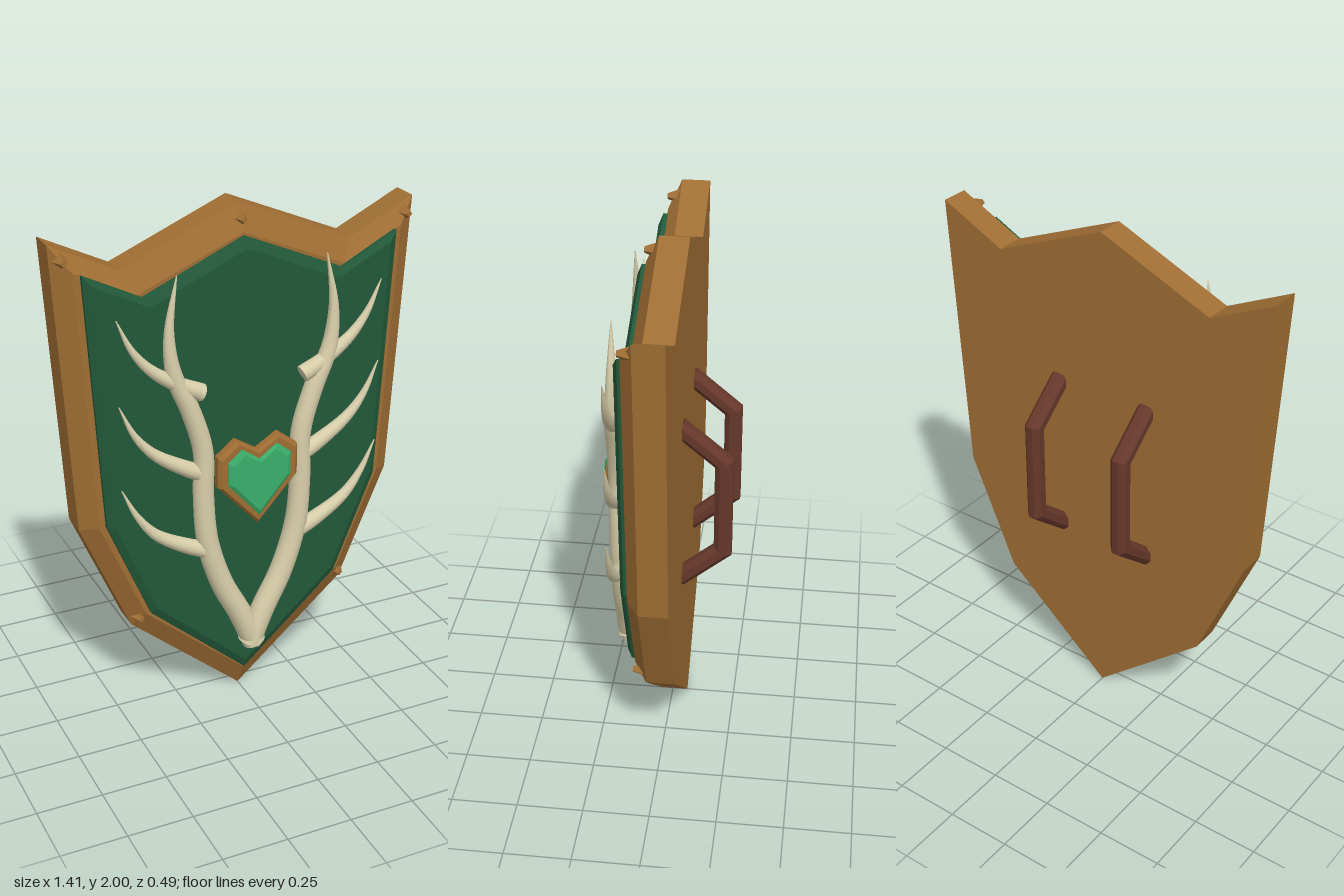
import * as THREE from 'three';
import { toCreasedNormals } from 'three/addons/utils/BufferGeometryUtils.js';

const material = (name, color, flatShading = false) => {
  const m = new THREE.MeshStandardMaterial({ color, flatShading });
  m.name = name;
  return m;
};

// Completes a half outline (counter-clockwise, from bottom to top centre) by mirroring it
const mirrorOutline = half => [
  ...half,
  ...half.slice(1, -1).reverse().map(([x, y]) => [-x, y]),
];

// Solid lofted through scaled copies of an outline; layers are [scaleX, scaleY, z]
function plate(outline, centreY, layers) {
  const rings = layers.map(([sx, sy, z]) =>
    outline.map(([x, y]) => new THREE.Vector3(x * sx, centreY + (y - centreY) * sy, z)));
  const n = outline.length;
  const pts = [];
  for (let k = 0; k < rings.length - 1; k++) {
    for (let i = 0; i < n; i++) {
      const j = (i + 1) % n;
      const [a, b, c, d] = [rings[k][i], rings[k][j], rings[k + 1][j], rings[k + 1][i]];
      pts.push(a, b, c, a, c, d);
    }
  }
  const faces = THREE.ShapeUtils.triangulateShape(outline.map(([x, y]) => new THREE.Vector2(x, y)), []);
  const front = rings[rings.length - 1];
  for (const [a, b, c] of faces) {
    pts.push(front[a], front[b], front[c], rings[0][c], rings[0][b], rings[0][a]);
  }
  const geo = new THREE.BufferGeometry().setFromPoints(pts);
  geo.computeVertexNormals();
  return geo;
}

// Tapering tube along a planar path, mitred at the bends; side is the normal of the path's plane
function sweep(path, radiusAt, side, sides, crease) {
  const last = path.length - 1;
  const rings = path.map((p, i) => {
    const before = p.clone().sub(path[Math.max(i - 1, 0)]).normalize();
    const after = path[Math.min(i + 1, last)].clone().sub(p).normalize();
    const tangent = before.clone().add(after).normalize();
    const mitre = 1 / tangent.dot(i < last ? after : before);
    const across = side.clone().cross(tangent);
    const r = radiusAt(i / last);
    return Array.from({ length: sides }, (_, j) => {
      const a = ((j + 0.5) / sides) * Math.PI * 2;
      return p.clone()
        .addScaledVector(across, Math.cos(a) * r * mitre)
        .addScaledVector(side, Math.sin(a) * r);
    });
  });
  const pts = [];
  for (let j = 0; j < sides; j++) {
    const k = (j + 1) % sides;
    for (let i = 0; i < last; i++) {
      const [a, b, c, d] = [rings[i][j], rings[i][k], rings[i + 1][k], rings[i + 1][j]];
      pts.push(a, b, c, a, c, d);
    }
    pts.push(path[0], rings[0][k], rings[0][j], path[last], rings[last][j], rings[last][k]);
  }
  return toCreasedNormals(new THREE.BufferGeometry().setFromPoints(pts), crease);
}

export function createModel() {
  const wood = material('wood', 0xa06e34, true);
  const field = material('dark green', 0x22583a, true);
  const gemGreen = material('gem green', 0x3aae6a, true);
  const bone = material('bone', 0xd8cfaa);
  const leather = material('dark leather', 0x66382a);

  const model = new THREE.Group();
  model.name = 'shield';
  const add = (name, geo, mat, parent = model) => {
    const mesh = new THREE.Mesh(geo, mat);
    mesh.name = name;
    parent.add(mesh);
    return mesh;
  };

  // Wooden body with a bevelled rim, and the green field on it
  const outline = mirrorOutline([
    [0, 0], [0.45, 0.39], [0.64, 0.84], [0.705, 1.935], [0.45, 1.81], [0, 2],
  ]);
  add('body', plate(outline, 1, [[1, 1, -0.06], [1, 1, 0.048], [0.9, 0.9, 0.095]]), wood);
  add('field', plate(outline, 1, [
    [0.863, 0.89, 0.085], [0.863, 0.89, 0.11], [0.82, 0.85, 0.126],
  ]), field);

  // Rim studs
  const studs = new THREE.Group();
  studs.name = 'studs';
  model.add(studs);
  const studGeo = new THREE.CylinderGeometry(0.012, 0.032, 0.05, 4).rotateX(Math.PI / 2);
  for (const [x, y] of [[0, 1.945], [0.665, 1.88], [-0.665, 1.88], [0.425, 0.43], [-0.425, 0.43]]) {
    add('stud', studGeo, wood, studs).position.set(x, y, 0.075);
  }

  // Antlers: a curved beam with three tines on each side
  const zAxis = new THREE.Vector3(0, 0, 1);
  const beam = [[-0.01, 0.27], [0.05, 0.41], [0.125, 0.56], [0.182, 0.75], [0.198, 0.95],
    [0.198, 1.13], [0.25, 1.31], [0.305, 1.44], [0.322, 1.6], [0.29, 1.81]];
  const tines = [
    [[0.19, 0.72], [0.27, 0.755], [0.39, 0.83], [0.46, 0.92], [0.515, 1.035]],
    [[0.19, 1.035], [0.27, 1.075], [0.39, 1.155], [0.46, 1.24], [0.515, 1.36]],
    [[0.2, 1.36], [0.28, 1.4], [0.39, 1.475], [0.46, 1.56], [0.515, 1.68]],
  ];
  for (const s of [1, -1]) {
    const antler = new THREE.Group();
    antler.name = s > 0 ? 'leftAntler' : 'rightAntler';
    model.add(antler);
    const curve = (points, steps) => new THREE.CatmullRomCurve3(
      points.map(([x, y]) => new THREE.Vector3(s * x, y, 0.175))).getSpacedPoints(steps);
    add('beam', sweep(curve(beam, 48),
      t => (t < 0.7 ? 0.047 - 0.016 * t : 0.0358 - 0.0338 * ((t - 0.7) / 0.3) ** 1.2),
      zAxis, 16, 1), bone, antler);
    for (const tine of tines) {
      add('tine', sweep(curve(tine, 20), t => 0.033 - 0.031 * t ** 1.3, zAxis, 12, 1), bone, antler);
    }
  }

  // Heart-shaped gem in a wooden setting
  const setting = mirrorOutline([[0, 0.815], [0.16, 0.99], [0.16, 1.11], [0.085, 1.168], [0, 1.115]]);
  add('gemSetting', plate(setting, 1, [[1, 1, 0.195], [1, 1, 0.222], [0.92, 0.92, 0.234]]), wood);
  const heart = mirrorOutline([[0, 0.855], [0.126, 1.0], [0.126, 1.09], [0.07, 1.135], [0, 1.085]]);
  add('gem', plate(heart, 1, [[1, 1, 0.225], [1, 1, 0.238], [0.86, 0.86, 0.247]]), gemGreen);

  // Two grips on the back
  const gripPath = [[1.36, -0.045], [1.22, -0.21], [0.845, -0.21], [0.705, -0.045]]
    .map(([y, z]) => new THREE.Vector3(0, y, z));
  const gripGeo = sweep(gripPath, () => 0.036, new THREE.Vector3(1, 0, 0), 8, 0.4);
  for (const s of [1, -1]) {
    add(s > 0 ? 'leftGrip' : 'rightGrip', gripGeo, leather).position.x = s * 0.195;
  }
  return model;
}
